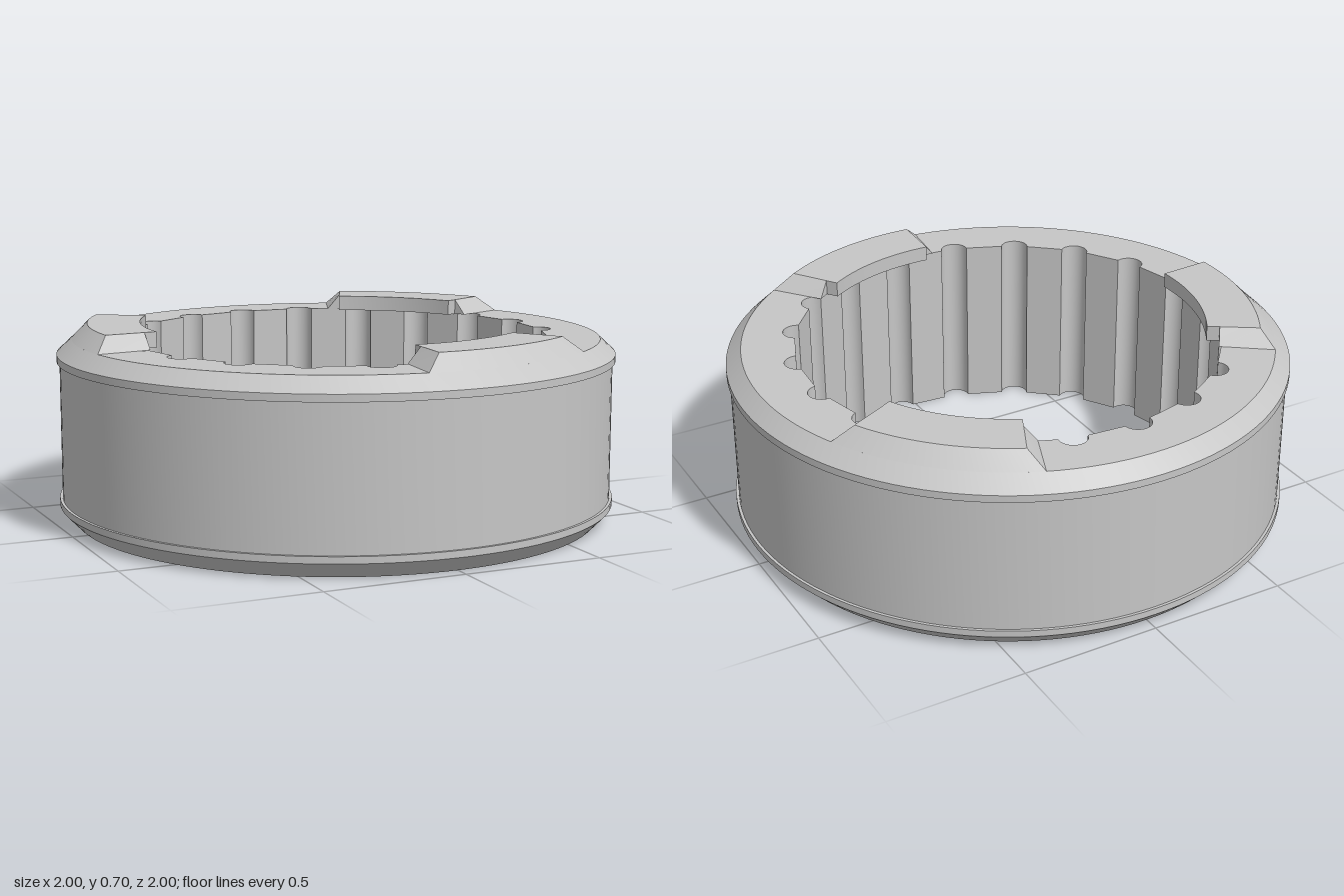
import * as THREE from 'three';
import { toCreasedNormals } from 'three/addons/utils/BufferGeometryUtils.js';

const DEG = Math.PI / 180;
const DECK = 0.65, TOP = 0.705;            // heights of the deck and of the raised dogs
const RIM = 0.945, BORE = 0.755, LIP = 0.703;
const GROOVES = 20, GROOVE_R = 0.05, GROOVE_START = -4.7;
const SEGMENTS = 128;

// Triangles from a list of corner-wise quads
function fromQuads(quads, crease = 0.3) {
  const pos = [];
  for (const [a, b, c, d] of quads) for (const p of [a, b, c, a, c, d]) pos.push(...p);
  const geo = new THREE.BufferGeometry();
  geo.setAttribute('position', new THREE.Float32BufferAttribute(pos, 3));
  return toCreasedNormals(geo, crease);
}

// Bore outline: straight lands between half-round grooves, as [x, z]
function boreOutline() {
  const pts = [];
  for (let i = 0; i < GROOVES; i++) {
    const a = (GROOVE_START + i * 360 / GROOVES) * DEG;
    for (let k = 0; k <= 12; k++) {
      const f = (k / 12 - 0.5) * Math.PI;
      const r = BORE + GROOVE_R * Math.cos(f), t = GROOVE_R * Math.sin(f);
      pts.push([r * Math.cos(a) - t * Math.sin(a), r * Math.sin(a) + t * Math.cos(a)]);
    }
  }
  return pts;
}

// Flat ring between the rim and the bore, facing up or down
function capGeometry(outline, up) {
  const s = up ? -1 : 1;
  const rim = [];
  for (let i = 0; i < SEGMENTS; i++) {
    const a = i / SEGMENTS * Math.PI * 2;
    rim.push(new THREE.Vector2(RIM * Math.sin(a), RIM * Math.cos(a)));
  }
  const shape = new THREE.Shape(rim);
  shape.holes.push(new THREE.Path(outline.map(([x, z]) => new THREE.Vector2(x, s * z))));
  const geo = new THREE.ShapeGeometry(shape);
  geo.rotateX(s * Math.PI / 2);
  if (up) geo.translate(0, DECK, 0);
  return geo;
}

// Curved block swept around the axis; its ends lean when the two half angles differ
function sectorGeometry(ri, roBottom, roTop, halfBottom, halfTop) {
  const steps = 20, sections = [], quads = [];
  for (let i = 0; i <= steps; i++) {
    const s = i / steps * 2 - 1;
    const at = (r, y, half) => [r * Math.cos(s * half * DEG), y, r * Math.sin(s * half * DEG)];
    sections.push([at(ri, DECK, halfBottom), at(roBottom, DECK, halfBottom),
      at(roTop, TOP, halfTop), at(ri, TOP, halfTop)]);
  }
  for (let i = 0; i < steps; i++) {
    const p = sections[i], q = sections[i + 1];
    for (let j = 0; j < 4; j++) {
      const k = (j + 1) % 4;
      quads.push([p[j], p[k], q[k], q[j]]);
    }
  }
  quads.push([...sections[0]].reverse(), sections[steps]);
  return fromQuads(quads);
}

export function createModel() {
  const group = new THREE.Group();
  const steel = new THREE.MeshStandardMaterial({ color: 0xc6c6c6 });
  steel.name = 'light steel grey';
  const add = (name, geo, parent = group) => {
    const mesh = new THREE.Mesh(geo, steel);
    mesh.name = name;
    parent.add(mesh);
  };

  // Outer wall with chamfers and two narrow bands
  const profile = [[RIM, 0], [1, 0.057], [1, 0.081], [0.99, 0.081], [0.99, 0.573],
    [1, 0.573], [1, 0.599], [RIM, DECK]].map(([x, y]) => new THREE.Vector2(x, y));
  add('outerWall', toCreasedNormals(new THREE.LatheGeometry(profile, SEGMENTS), 0.3));

  // Top deck, underside and grooved bore
  const outline = boreOutline();
  add('topDeck', capGeometry(outline, true));
  add('underside', capGeometry(outline, false));
  add('groovedBore', fromQuads(outline.map(([x, z], i) => {
    const [x2, z2] = outline[(i + 1) % outline.length];
    return [[x, 0, z], [x2, 0, z2], [x2, DECK, z2], [x, DECK, z]];
  })));

  // Three raised dogs with sloped ends and an inner lip over the bore
  const dogGeo = sectorGeometry(0.748, RIM, 0.89, 22.2, 18.7);
  const lipGeo = sectorGeometry(LIP, 0.748, 0.748, 18.7, 18.7);
  for (let i = 0; i < 3; i++) {
    const dog = new THREE.Group();
    dog.name = 'raisedDog' + (i + 1);
    add('dogBlock', dogGeo, dog);
    add('dogLip', lipGeo, dog);
    dog.rotation.y = -(-45.7 + i * 120) * DEG;
    group.add(dog);
  }
  return group;
}
